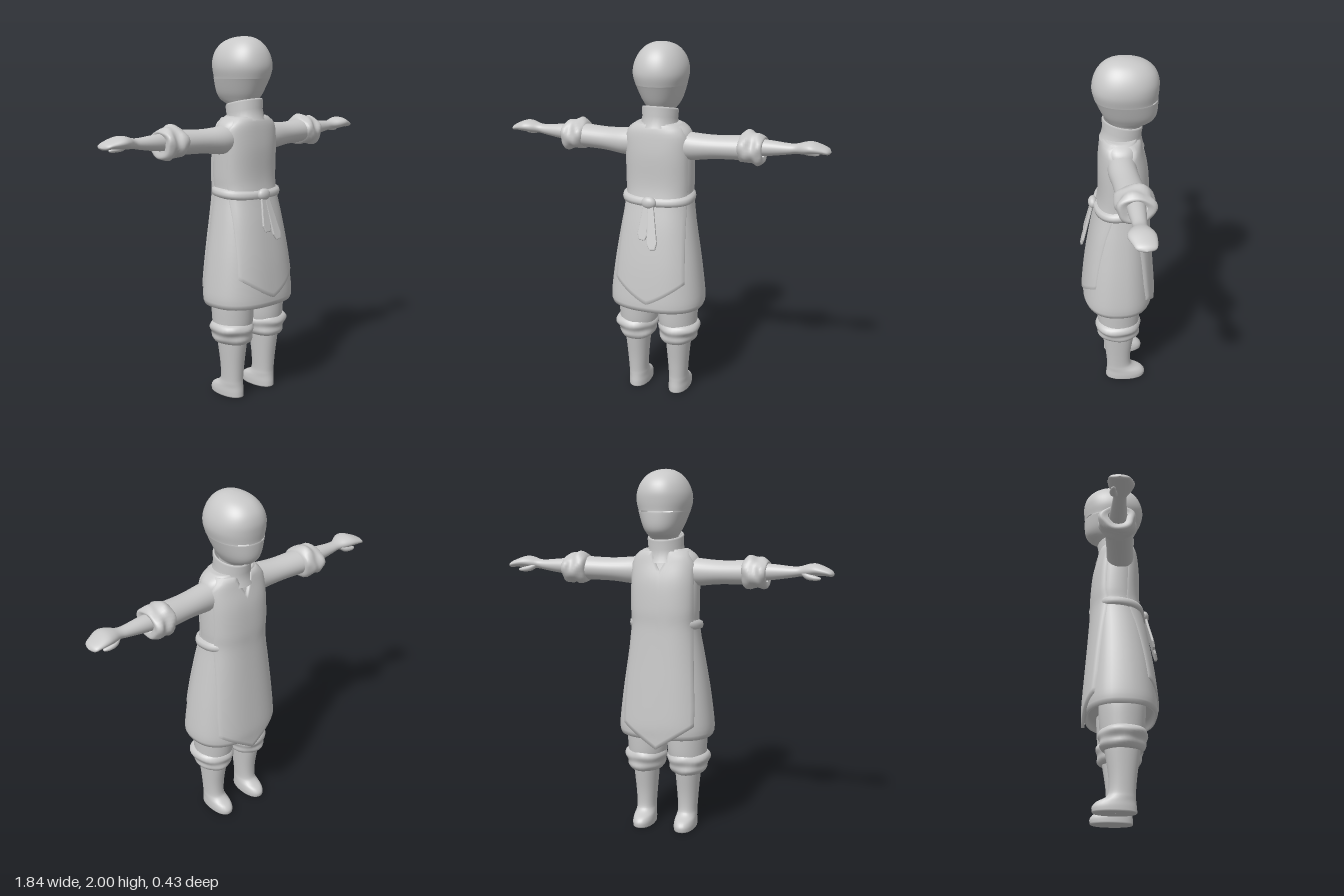
import * as THREE from 'three';

const cloth = new THREE.MeshStandardMaterial({ color: 0xc8c8c8, side: THREE.DoubleSide });
cloth.name = 'plain grey';

// Catmull-Rom subdivision of a short list of cross-sections
function smooth(rows, n = 4) {
  const out = [], at = i => rows[Math.max(0, Math.min(rows.length - 1, i))];
  for (let i = 0; i < rows.length - 1; i++) {
    for (let k = 0; k < n; k++) {
      const t = k / n;
      out.push(at(i).map((b, c) => {
        const a = at(i - 1)[c], d = at(i + 1)[c], e = at(i + 2)[c];
        return b + 0.5 * t * (d - a + t * (2 * a - 5 * b + 4 * d - e + t * (3 * (b - d) + e - a)));
      }));
    }
  }
  out.push(at(rows.length - 1));
  return out;
}

function grid(points, rows, cols, wrap, skip) {
  const index = [], last = wrap ? cols : cols - 1;
  for (let i = 0; i < rows - 1; i++) {
    for (let j = 0; j < last; j++) {
      if (skip && skip(i, j)) continue;
      const a = i * cols + j, b = i * cols + (j + 1) % cols;
      index.push(a, a + cols, b, b, a + cols, b + cols);
    }
  }
  const g = new THREE.BufferGeometry();
  g.setAttribute('position', new THREE.Float32BufferAttribute(points, 3));
  g.setIndex(index);
  g.computeVertexNormals();
  return g;
}

// Skin over sections [along, centreA, centreB, radiusA, radiusB], along y or x
function loft(rows, { axis = 'y', seg = 32, p = 2, tilt = 0, wobble, skip } = {}) {
  const pts = [], pow = v => Math.sign(v) * Math.abs(v) ** (2 / p);
  rows.forEach(([t, ca, cb, ra, rb], i) => {
    for (let j = 0; j < seg; j++) {
      const a = j / seg * Math.PI * 2, w = wobble ? wobble(t, a) : 1;
      const u = ca + ra * w * pow(Math.cos(a)), v = rb * w * pow(Math.sin(a));
      if (axis === 'y') pts.push(u, t + tilt * (cb + v), cb + v);
      else pts.push(t, u, cb - v);
    }
  });
  return grid(pts, rows.length, seg, true, skip);
}

function mirrored(geometry) {
  const g = geometry.clone().scale(-1, 1, 1), ix = g.index.array;
  for (let i = 0; i < ix.length; i += 3) [ix[i], ix[i + 1]] = [ix[i + 1], ix[i]];
  g.computeVertexNormals();
  return g;
}

// section from its limits in depth
const sec = (y, rx, zMin, zMax) => [y, 0, (zMin + zMax) / 2, rx, (zMax - zMin) / 2];

const ROBE_POWER = 2.4;
const robeRows = smooth([
  sec(0.56, 0.266, -0.192, 0.203), sec(0.62, 0.266, -0.193, 0.2), sec(0.8, 0.244, -0.18, 0.18),
  sec(1.0, 0.212, -0.165, 0.147), sec(1.16, 0.186, -0.155, 0.112), sec(1.25, 0.188, -0.155, 0.1),
  sec(1.4, 0.19, -0.143, 0.1), sec(1.5, 0.186, -0.118, 0.092), sec(1.545, 0.165, -0.108, 0.085),
  sec(1.575, 0.12, -0.1, 0.075)]);

function lookup(rows, y) {
  let i = 0;
  while (i < rows.length - 2 && rows[i + 1][0] < y) i++;
  const t = THREE.MathUtils.clamp((y - rows[i][0]) / (rows[i + 1][0] - rows[i][0]), 0, 1);
  return rows[i].map((v, c) => v + (rows[i + 1][c] - v) * t);
}

const panelWidths = [[0.5, 0.2], [0.72, 0.2], [0.95, 0.187], [1.16, 0.176], [1.5, 0.176], [1.57, 0.13]];

// Hanging panel that follows the robe, its border turned in to the cloth
function panel(side, offset, bottom, top) {
  const M = 40, N = 24, pts = [];
  for (let i = -1; i <= M + 1; i++) {
    for (let j = -1; j <= N + 1; j++) {
      const border = i < 0 || j < 0 || i > M || j > N;
      const u = THREE.MathUtils.clamp(j / N, 0, 1) * 2 - 1, t = THREE.MathUtils.clamp(i / M, 0, 1);
      const lo = bottom(Math.abs(u)), y = lo + (top(Math.abs(u)) - lo) * t;
      const r = lookup(robeRows, y);
      const x = u * Math.min(lookup(panelWidths, y)[1], r[3] * 0.99);
      const z = r[4] * (1 - Math.abs(x / r[3]) ** ROBE_POWER) ** (1 / ROBE_POWER);
      pts.push(-side * x, y, r[2] + side * (z + (border ? -0.004 : offset)));
    }
  }
  return grid(pts, M + 3, N + 3, false);
}

export function createModel() {
  const model = new THREE.Group();
  const add = (name, geometry, parent = model) => {
    const m = new THREE.Mesh(geometry, cloth);
    m.name = name;
    parent.add(m);
    return m;
  };
  const pair = (name, geometry) => {
    add('left' + name, geometry);
    add('right' + name, mirrored(geometry));
  };

  // Head, with two narrow eye openings
  const headRows = smooth([
    sec(1.6, 0.07, -0.09, 0.05), sec(1.635, 0.07, -0.135, 0.045), sec(1.66, 0.085, -0.182, 0.06),
    sec(1.7, 0.107, -0.203, 0.085), sec(1.768, 0.132, -0.208, 0.117), sec(1.782, 0.136, -0.206, 0.123),
    sec(1.83, 0.147, -0.211, 0.135), sec(1.88, 0.143, -0.211, 0.13), sec(1.93, 0.122, -0.193, 0.11),
    sec(1.97, 0.088, -0.15, 0.075), sec(1.993, 0.045, -0.085, 0.03), sec(2.0, 0.001, -0.021, -0.019)]);
  add('head', loft(headRows, {
    seg: 64, p: 2.15,
    skip: (i, j) => i >= 17 && i <= 19 && [51, 52, 53, 54, 41, 42, 43, 44].includes(j)
  }));

  // High slanted collar with a folded rim
  add('collar', loft([
    sec(1.535, 0.112, -0.14, 0.1), sec(1.56, 0.102, -0.13, 0.09), sec(1.6, 0.096, -0.122, 0.082),
    sec(1.645, 0.099, -0.13, 0.085), sec(1.655, 0.094, -0.125, 0.08), sec(1.65, 0.085, -0.115, 0.07),
    sec(1.58, 0.08, -0.11, 0.065)], { tilt: 0.22 }));

  // Robe with closed hem and shoulders
  add('robe', loft([
    sec(0.6, 0.001, -0.001, 0.001), sec(0.59, 0.235, -0.165, 0.175), sec(0.545, 0.245, -0.175, 0.185),
    sec(0.54, 0.258, -0.185, 0.196), ...robeRows, sec(1.58, 0.001, -0.02, -0.018)],
  { p: ROBE_POWER, seg: 48 }));
  add('frontPanel', panel(-1, 0.014, u => 0.49 + 0.13 * u, u => Math.min(1.565, 1.46 + 0.3 * u)));
  add('backPanel', panel(1, 0.009, u => 0.59 + 0.12 * u ** 1.2, () => 1.57));

  // Belt, knot and hanging tails at the back
  add('belt', loft([
    sec(1.125, 0.184, -0.145, 0.115), sec(1.132, 0.2, -0.155, 0.134), sec(1.15, 0.204, -0.158, 0.138),
    sec(1.168, 0.2, -0.155, 0.132), sec(1.178, 0.184, -0.145, 0.105)],
  { p: ROBE_POWER, seg: 48, tilt: -0.08 }).translate(0, 0.012, 0));
  const knot = add('beltKnot', new THREE.SphereGeometry(1, 16, 12));
  knot.scale.set(0.042, 0.034, 0.026);
  knot.position.set(-0.008, 1.155, 0.138);
  [[-0.018, 0.19, -0.06, -0.24], [0.004, 0.24, 0.13, -0.27]].forEach(([x, len, lean, swing]) => {
    const s = new THREE.Shape();
    s.moveTo(-0.012, 0);
    s.lineTo(-0.024, -len + 0.03);
    s.lineTo(-0.012, -len);
    s.lineTo(0.014, -len);
    s.lineTo(0.024, -len + 0.03);
    s.lineTo(0.012, 0);
    const tail = add('beltTail', new THREE.ExtrudeGeometry(s, {
      depth: 0.006, bevelSize: 0.005, bevelThickness: 0.004, bevelSegments: 2 }));
    tail.position.set(x, 1.145, 0.14);
    tail.rotation.set(swing, 0, lean);
  });

  // Arms: sleeve, rolled cuff, forearm with hand, thumb
  const crumple = (t, a) => 1 + 0.05 * Math.sin(3 * a + 40 * t) + 0.035 * Math.sin(5 * a - 65 * t);
  pair('Sleeve', loft(smooth([
    [0.13, 1.455, -0.012, 0.08, 0.075], [0.2, 1.452, -0.012, 0.074, 0.076], [0.32, 1.455, -0.025, 0.064, 0.074],
    [0.48, 1.46, -0.04, 0.066, 0.08]]), { axis: 'x' }));
  pair('Cuff', loft(smooth([
    [0.44, 1.46, -0.04, 0.05, 0.06], [0.452, 1.46, -0.045, 0.076, 0.09], [0.485, 1.463, -0.048, 0.088, 0.102],
    [0.52, 1.46, -0.05, 0.08, 0.093], [0.55, 1.455, -0.05, 0.083, 0.1], [0.575, 1.455, -0.05, 0.068, 0.085],
    [0.57, 1.46, -0.05, 0.045, 0.05]]), { axis: 'x', wobble: crumple }));
  pair('ForearmAndHand', loft(smooth([
    [0.5, 1.465, -0.05, 0.048, 0.05], [0.6, 1.467, -0.05, 0.042, 0.045], [0.7, 1.47, -0.052, 0.03, 0.036],
    [0.745, 1.475, -0.052, 0.027, 0.036], [0.79, 1.482, -0.05, 0.033, 0.058], [0.83, 1.485, -0.052, 0.032, 0.068],
    [0.88, 1.477, -0.062, 0.022, 0.058], [0.91, 1.468, -0.066, 0.015, 0.044], [0.922, 1.464, -0.066, 0.001, 0.002]]),
  { axis: 'x' }));
  pair('Thumb', loft(smooth([
    [0.745, 1.472, -0.07, 0.006, 0.01], [0.78, 1.456, -0.085, 0.018, 0.02], [0.82, 1.446, -0.092, 0.014, 0.017],
    [0.85, 1.443, -0.092, 0.008, 0.01], [0.858, 1.443, -0.092, 0.001, 0.001]]), { axis: 'x', seg: 16 }));

  // Legs: baggy trousers, rolled knee cuffs, boots
  const leg = (y, x0, x1, z0, z1) => [y, (x0 + x1) / 2, (z0 + z1) / 2, (x1 - x0) / 2, (z1 - z0) / 2];
  pair('Trouser', loft(smooth([
    leg(0.38, 0.02, 0.225, -0.105, 0.115), leg(0.45, 0.008, 0.228, -0.115, 0.125),
    leg(0.55, 0.006, 0.232, -0.12, 0.13), leg(0.62, 0.006, 0.225, -0.12, 0.13)])));
  pair('KneeCuff', loft(smooth([
    leg(0.335, 0.06, 0.18, -0.08, 0.09), leg(0.322, 0.04, 0.205, -0.095, 0.11),
    leg(0.345, 0.018, 0.23, -0.112, 0.125), leg(0.375, 0.014, 0.235, -0.112, 0.125),
    leg(0.405, 0.004, 0.25, -0.122, 0.138), leg(0.43, 0.014, 0.24, -0.115, 0.13),
    leg(0.445, 0.03, 0.215, -0.1, 0.11)]),
  { wobble: (t, a) => 1 + 0.025 * Math.sin(2 * a + 30 * t) + 0.02 * Math.sin(5 * a - 50 * t) }));
  pair('Boot', loft([
    leg(0, 0.12, 0.122, -0.03, -0.028), leg(0, 0.066, 0.176, -0.142, 0.076),
    ...smooth([leg(0.004, 0.064, 0.18, -0.148, 0.08), leg(0.03, 0.063, 0.181, -0.15, 0.079),
      leg(0.055, 0.065, 0.179, -0.13, 0.076), leg(0.078, 0.068, 0.177, -0.085, 0.074),
      leg(0.11, 0.07, 0.176, -0.066, 0.074), leg(0.2, 0.064, 0.182, -0.068, 0.082),
      leg(0.33, 0.054, 0.193, -0.088, 0.1), leg(0.36, 0.054, 0.193, -0.088, 0.1)])], { p: 2.2 }));

  return model;
}
